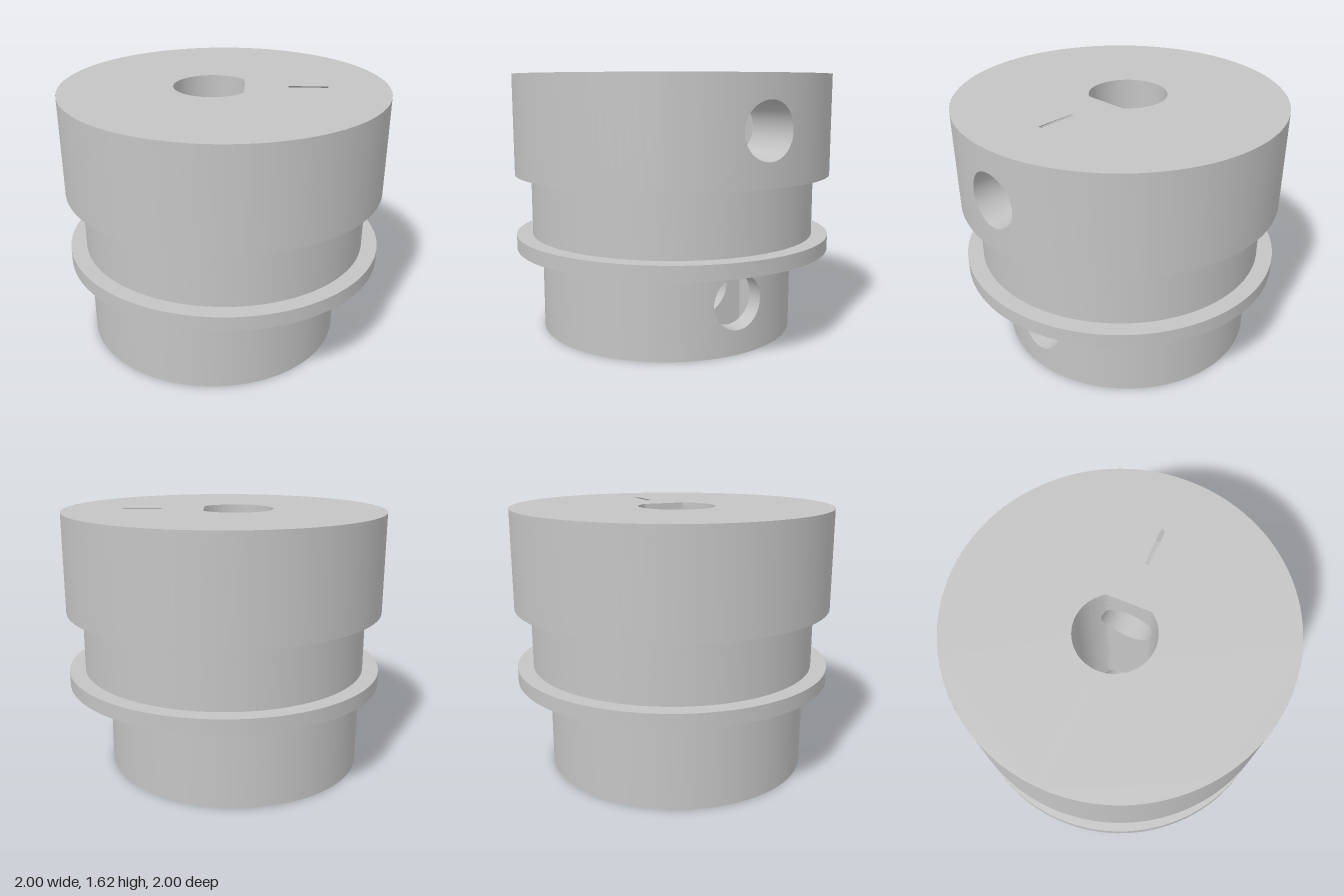
import * as THREE from 'three';
import { mergeGeometries, toCreasedNormals } from 'three/addons/utils/BufferGeometryUtils.js';

const TOP = 1.625, FLANGE = 0.54, RIM = 1.01;
const CX = -0.07, HUB_R = 0.815, BORE_R = 0.238, FLAT = 0.195; // eccentric hub and D-shaped bore
const HOLE_R = 0.165, LOW_Y = 0.315, HIGH_Y = 1.32;            // set screw holes
const NUT_IN = 0.39, NUT_OUT = 0.63, NUT_W = 0.27, NUT_C = 0.312; // nut pockets

// Surface from a rule f(u, v), facing du x dv
function grid(nu, nv, f) {
  const pos = [], idx = [];
  for (let i = 0; i <= nu; i++) for (let j = 0; j <= nv; j++) pos.push(...f(i / nu, j / nv));
  for (let i = 0; i < nu; i++) for (let j = 0; j < nv; j++) {
    const a = i * (nv + 1) + j, b = a + nv + 1;
    idx.push(a, b, a + 1, b, b + 1, a + 1);
  }
  const g = new THREE.BufferGeometry();
  g.setAttribute('position', new THREE.Float32BufferAttribute(pos, 3));
  g.setIndex(idx);
  return g;
}

const onCircle = (cx, r) => (z) => cx + Math.sqrt(r * r - z * z);
const rimX = onCircle(0, 1);
const hubX = onCircle(CX, HUB_R);
const boreX = (z) => CX + Math.min(FLAT, Math.sqrt(BORE_R * BORE_R - z * z));

// Round wall with a gap of half width w on its +x side; side -1 faces inward
const arcWall = (cx, r, w, y0, y1, side = 1) => {
  const p0 = Math.asin(w / r);
  return grid(112, 1, (u, v) => {
    const p = p0 + u * 2 * (Math.PI - p0);
    return [cx + r * Math.cos(p), y0 + v * (y1 - y0), -side * r * Math.sin(p)];
  });
};

// Patch filling that gap, pierced by a round hole at height yc
const holePatch = (xOf, w, y0, y1, yc, side = 1) => grid(64, 12, (u, v) => {
  const t = u * 2 * Math.PI, c = Math.cos(t), s = Math.sin(t);
  const m = Math.max(Math.abs(c), Math.abs(s));
  const h = s > 0 ? y1 - yc : yc - y0;
  const z = THREE.MathUtils.lerp(HOLE_R * c, (w * c) / m, v);
  const y = yc + THREE.MathUtils.lerp(HOLE_R * s, (h * s) / m, v);
  return [xOf(z), y, side * z];
});

// Inside of a screw hole between two surfaces
const holeTube = (y, inner, outer) => grid(64, 1, (u, v) => {
  const t = u * 2 * Math.PI, z = HOLE_R * Math.cos(t);
  return [THREE.MathUtils.lerp(inner(z), outer(z), v), y + HOLE_R * Math.sin(t), z];
});

// Nut pocket: side walls follow the [z, y] outline, end walls carry the screw hole
function pocketParts(outline, yc) {
  const n = outline.length - 1;
  const sides = grid(n, 1, (u, v) => {
    const [z, y] = outline[Math.round(u * n)];
    return [v ? NUT_OUT : NUT_IN, y, z];
  });
  const ends = [[NUT_IN, 1], [NUT_OUT, -1]].map(([x, dir]) => {
    const s = new THREE.Shape(outline.map(([z, y]) => new THREE.Vector2(z, y)));
    s.holes.push(new THREE.Path().absarc(0, yc, HOLE_R, 0, Math.PI * 2));
    return new THREE.ShapeGeometry(s, 32).rotateY(dir * Math.PI / 2).translate(x, 0, 0);
  });
  return [sides, ...ends];
}

const disc = (cx, r) => new THREE.Shape().absarc(cx, 0, r, 0, Math.PI * 2);
const boreOutline = () => {
  const a = Math.acos(FLAT / BORE_R);
  return new THREE.Path().absarc(CX, 0, BORE_R, a, Math.PI * 2 - a).closePath();
};
const slotOutline = (w) => new THREE.Path([
  [NUT_IN, -w], [NUT_OUT, -w], [NUT_OUT, w], [NUT_IN, w],
].map(([x, y]) => new THREE.Vector2(x, y))).closePath();

// Flat horizontal face, up = 1 or -1
const face = (shape, holes, y, up) => {
  shape.holes.push(...holes);
  return new THREE.ShapeGeometry(shape, 56).rotateX(-up * Math.PI / 2).translate(0, y, 0);
};

export function createModel() {
  const group = new THREE.Group();
  const grey = new THREE.MeshStandardMaterial({ color: 0xc4c4c4, side: THREE.DoubleSide });
  grey.name = 'grey';
  const add = (name, ...geos) => {
    for (const g of geos) { g.deleteAttribute('normal'); g.deleteAttribute('uv'); }
    const mesh = new THREE.Mesh(toCreasedNormals(mergeGeometries(geos), 0.5), grey);
    mesh.name = name;
    group.add(mesh);
  };

  // Outer body
  add('hubWall', arcWall(CX, HUB_R, 0.3, 0, FLANGE), holePatch(hubX, 0.3, 0, FLANGE, LOW_Y));
  add('flangeAndGroove', new THREE.LatheGeometry(
    [[1, FLANGE], [1, 0.63], [0.9, 0.63], [0.9, RIM], [1, RIM]].map(([x, y]) => new THREE.Vector2(x, y)), 112));
  add('rimWall', arcWall(0, 1, 0.3, RIM, TOP), holePatch(rimX, 0.3, RIM, TOP, HIGH_Y));

  // Flat faces
  add('topFace', face(disc(0, 1), [boreOutline(), slotOutline(0.013)], TOP, 1));
  add('flangeUnderside', face(disc(0, 1), [disc(CX, HUB_R)], FLANGE, -1));
  add('bottomFace', face(disc(CX, HUB_R), [boreOutline(), slotOutline(NUT_W)], 0, -1));

  // Bore with its flat
  const mid = 0.815;
  add('bore', arcWall(CX, BORE_R, 0.2, 0, TOP, -1),
    holePatch(boreX, 0.2, 0, mid, LOW_Y, -1), holePatch(boreX, 0.2, mid, TOP, HIGH_Y, -1));

  // Screw holes, interrupted by the nut pockets
  for (const [name, y, wall] of [['lowerScrewHole', LOW_Y, hubX], ['upperScrewHole', HIGH_Y, rimX]]) {
    add(name, holeTube(y, boreX, () => NUT_IN), holeTube(y, () => NUT_OUT, wall));
  }

  // Nut pockets: lower one open below, upper one just breaking through the top
  const h = NUT_C / 2;
  add('lowerNutPocket', ...pocketParts([
    [NUT_W, 0], [NUT_W, LOW_Y + h], [0, LOW_Y + NUT_C], [-NUT_W, LOW_Y + h], [-NUT_W, 0],
  ], LOW_Y));
  add('upperNutPocket', ...pocketParts([
    [-0.013, TOP], [-NUT_W, HIGH_Y + h], [-NUT_W, HIGH_Y - h], [0, HIGH_Y - NUT_C],
    [NUT_W, HIGH_Y - h], [NUT_W, HIGH_Y + h], [0.013, TOP],
  ], HIGH_Y));
  return group;
}
